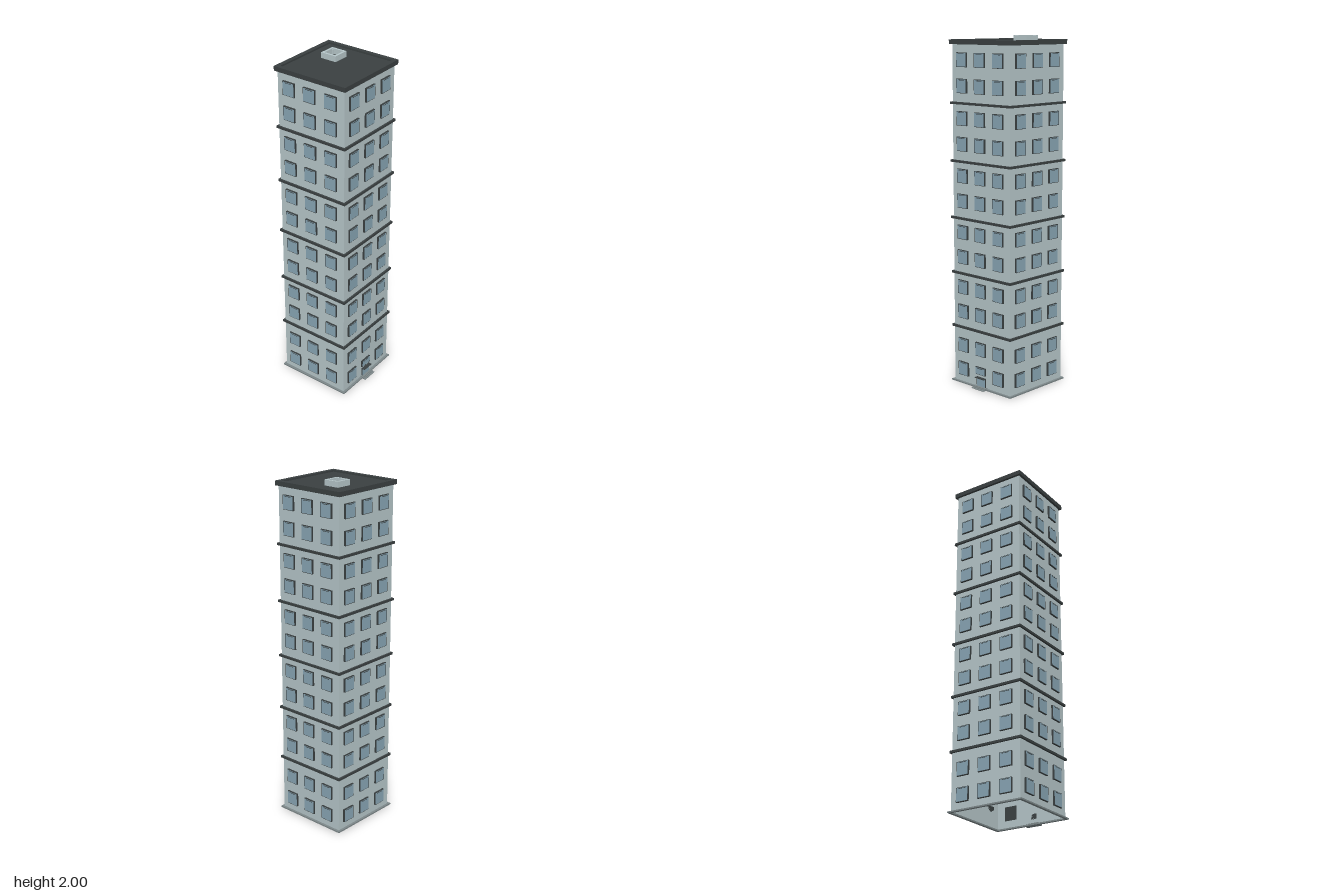
import * as THREE from 'three';

const mat = (name, color, side = THREE.FrontSide) => {
  const m = new THREE.MeshStandardMaterial({ color, side });
  m.name = name;
  return m;
};

export function createModel() {
  const wall = mat('pale wall', 0xb5c5c8, THREE.DoubleSide);
  const dark = mat('dark trim', 0x3a4041);
  const glass = mat('window glass', 0x87a4b3);
  const stone = mat('grey stone', 0x7c8789);

  const model = new THREE.Group();
  model.name = 'towerBlock';
  const tower = new THREE.Group();
  tower.name = 'tower';
  tower.position.z = -0.0135;
  model.add(tower);

  const add = (parent, name, geometry, material, x = 0, y = 0, z = 0) => {
    const mesh = new THREE.Mesh(geometry, material);
    mesh.name = name;
    mesh.position.set(x, y, z);
    parent.add(mesh);
    return mesh;
  };
  const box = (parent, name, material, w, h, d, x, y, z) =>
    add(parent, name, new THREE.BoxGeometry(w, h, d), material, x, y, z);

  // Flat square frame lying in xz, rising from y by h
  const squarePath = (P, r) => {
    const p = new P();
    p.moveTo(-r, -r).lineTo(r, -r).lineTo(r, r).lineTo(-r, r).closePath();
    return p;
  };
  const ring = (parent, name, material, outer, inner, h, x, y, z) => {
    const shape = squarePath(THREE.Shape, outer);
    shape.holes.push(squarePath(THREE.Path, inner));
    const g = new THREE.ExtrudeGeometry(shape, { depth: h, bevelEnabled: false });
    g.rotateX(-Math.PI / 2);
    return add(parent, name, g, material, x, y, z);
  };

  const half = 0.219, roofHalf = 0.2328, wallTop = 1.955;
  const rows = [0.088, 0.231, 0.432, 0.576, 0.753, 0.897, 1.077, 1.22, 1.4, 1.544, 1.724, 1.868];
  const columns = [-0.142, -0.005, 0.133];

  // One window: dark casing, glass pane and a thin top vent
  const addWindow = (side, x, y, w, h) => {
    const win = new THREE.Group();
    win.name = 'window';
    win.position.set(x, y, half);
    side.add(win);
    box(win, 'windowCasing', dark, w, h, 0.01, 0, 0, 0.005);
    box(win, 'windowPane', glass, w - 0.006, h - 0.006, 0.001, 0, 0, 0.0105);
    box(win, 'windowVent', dark, w * 0.6, 0.003, 0.001, 0, h / 2 - 0.007, 0.0112);
  };

  // Four hollow-tower walls with their windows
  ['front', 'left', 'back', 'right'].forEach((label, i) => {
    const side = new THREE.Group();
    side.name = label + 'Side';
    side.rotation.y = i * Math.PI / 2;
    tower.add(side);
    add(side, label + 'Wall', new THREE.PlaneGeometry(half * 2, wallTop), wall, 0, wallTop / 2, half);
    rows.forEach((y, r) => columns.forEach((x, c) => {
      if (i === 0 && r === 0 && c === 1) addWindow(side, x, 0.103, 0.077, 0.044);
      else addWindow(side, x, y, 0.077, 0.08);
    }));
  });

  // Plinth and floor bands
  ring(tower, 'plinth', stone, roofHalf, half - 0.002, 0.008, 0, 0, 0);
  for (const y of [0.337, 0.656, 0.976, 1.301, 1.628]) {
    ring(tower, 'floorBand', dark, 0.23, half - 0.002, 0.013, 0, y - 0.0065, 0);
  }

  // Roof slab with a low parapet
  box(tower, 'roofSlab', dark, roofHalf * 2, 0.016, roofHalf * 2, 0, 1.96, 0);
  ring(tower, 'parapet', dark, roofHalf, 0.2075, 0.01, 0, 1.968, 0);

  // Open rooftop shaft with posts in its inner corners
  const shaft = new THREE.Group();
  shaft.name = 'roofShaft';
  shaft.position.set(0.0695, 1.968, -0.0705);
  tower.add(shaft);
  ring(shaft, 'shaftWalls', wall, 0.048, 0.035, 0.032, 0, 0, 0);
  for (const sx of [-1, 1]) for (const sz of [-1, 1]) {
    box(shaft, 'shaftPost', wall, 0.007, 0.028, 0.007, sx * 0.0315, 0.014, sz * 0.0315);
  }

  // Entrance: double door, canopy and steps
  const entrance = new THREE.Group();
  entrance.name = 'entrance';
  entrance.position.set(-0.002, 0, half);
  tower.add(entrance);
  box(entrance, 'doorFrame', dark, 0.07, 0.056, 0.006, 0, 0.034, 0.003);
  for (const s of [-1, 1]) {
    box(entrance, 'doorLeaf', glass, 0.031, 0.049, 0.001, s * 0.0165, 0.034, 0.0065);
  }
  box(entrance, 'canopy', dark, 0.07, 0.004, 0.022, 0, 0.063, 0.011);
  [0.037, 0.0265, 0.0195].forEach((depth, i) => {
    box(entrance, 'step', stone, 0.093, 0.004, depth, 0, 0.002 + i * 0.004, depth / 2);
  });

  return model;
}
